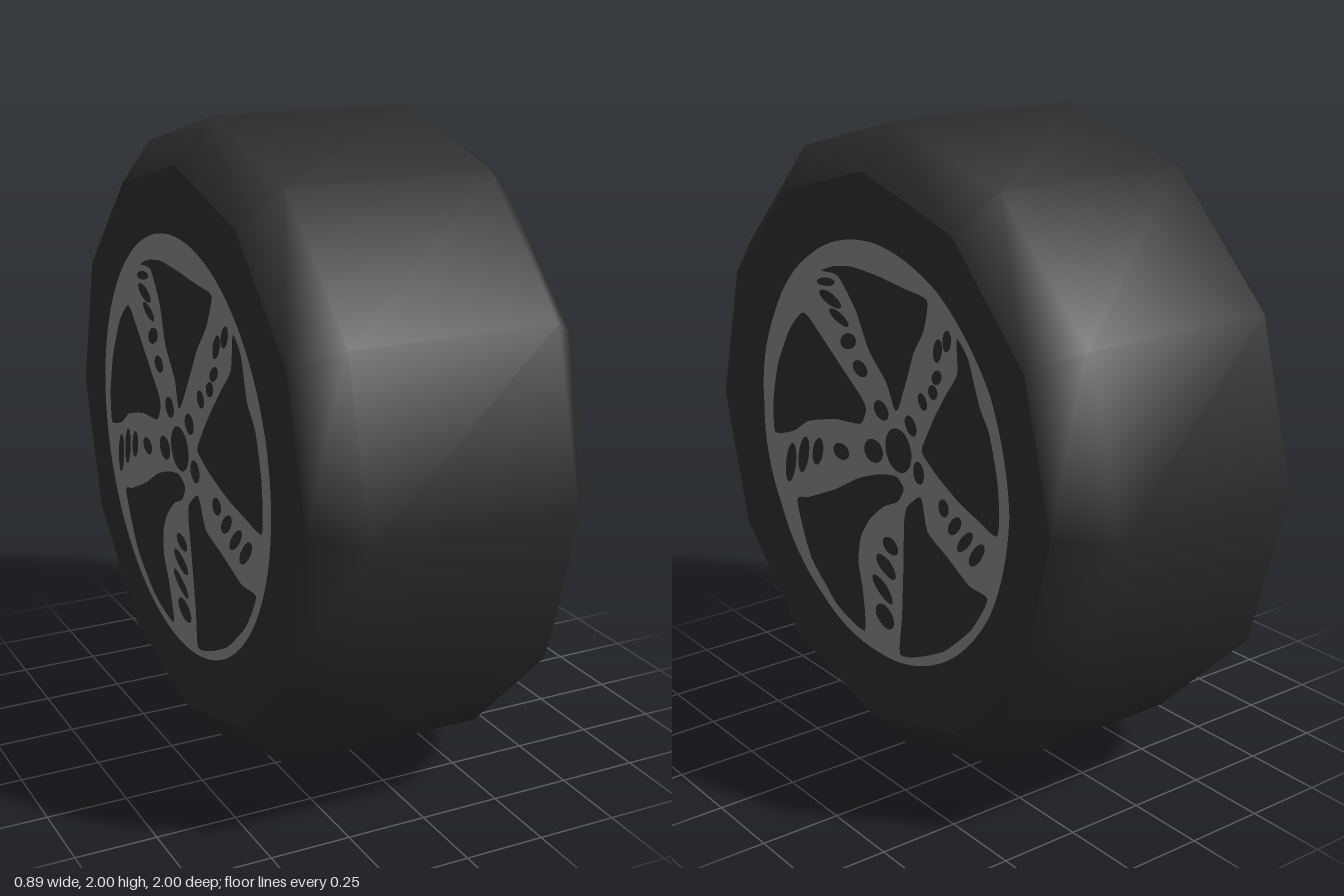
import * as THREE from 'three';

const SIDES = 12, HALF_WIDTH = 0.445, TREAD_HALF = 0.325, SIDE_RADIUS = 0.865, DISH_DEPTH = 0.125;

// Outlines below are in drafting units around the hub (x right, y down).
const UNIT = 186.7, CX = 686, CY = 224.5;
const pt = (x, y) => new THREE.Vector2((x - CX) / UNIT, (CY - y) / UNIT);

// Openings between the five spokes
const windows = [
  [[632, 128], [645, 123], [664, 120], [690, 121], [715, 123], [736, 125], [728, 144], [715, 159], [705, 175], [690, 198], [685, 200], [681, 185], [668, 168], [661, 146], [648, 128]],
  [[763, 140], [773, 149], [780, 172], [790, 185], [797, 210], [797, 239], [775, 237], [755, 234], [730, 227], [714, 220], [713, 215], [728, 195], [746, 175], [760, 160]],
  [[712, 245], [722, 262], [745, 269], [770, 277], [789, 277], [775, 300], [750, 322], [725, 335], [707, 340], [705, 318], [701, 290], [697, 265], [698, 255]],
  [[668, 244], [684, 241], [693, 246], [688, 255], [676, 261], [664, 272], [657, 285], [657, 300], [664, 315], [670, 339], [640, 332], [612, 311], [595, 279], [606, 274], [630, 263], [650, 251]],
  [[610, 157], [625, 170], [641, 186], [655, 200], [658, 207], [652, 217], [630, 219], [605, 226], [592, 235], [574, 240], [573, 220], [580, 195], [594, 170]],
];

// Hub, bolt holes and spoke slots: centre x, centre y, radius x, radius y, tilt in degrees
const ovals = [
  [686, 225, 13, 13, 0],
  [672, 204, 6.5, 6, 0], [701, 206, 6.5, 6, 0], [663, 231, 8, 7, 0], [708, 232, 6.5, 6.5, 0],
  [635, 134, 9, 2.5, 10], [637, 144, 10, 4, -15], [643, 154, 9, 3.5, -20], [649, 167, 8, 4.5, 25], [657, 182, 6.5, 5, 0],
  [752, 144, 7, 4, 60], [741, 152, 8, 4, 60], [737, 168, 6.5, 3.5, 35], [731, 178, 5.5, 4, 30], [718, 187, 5, 5, 0],
  [589, 256, 13, 4.5, 80], [601, 248, 12, 4.5, 78], [614, 243, 9, 4.5, 75], [635, 238, 7, 5, 0],
  [738, 243, 6, 5, 20], [751, 249, 9, 4, 40], [763, 254, 11, 3.5, 42], [776, 257, 11, 4, 45],
  [686, 282, 8, 4.5, -10], [684, 295, 11, 4.5, -20], [683, 309, 12, 4, -25], [688, 324, 10, 6, -15],
];

function closedPath(points) {
  const curve = new THREE.CatmullRomCurve3(
    points.map(([x, y]) => { const p = pt(x, y); return new THREE.Vector3(p.x, p.y, 0); }),
    true, 'catmullrom', 0.3);
  return new THREE.Path(curve.getPoints(points.length * 4).slice(0, -1).map(p => new THREE.Vector2(p.x, p.y)));
}

function ovalPath([x, y, rx, ry, tilt]) {
  const c = pt(x, y);
  const path = new THREE.Path();
  path.absellipse(c.x, c.y, rx / UNIT, ry / UNIT, 0, Math.PI * 2, false, THREE.MathUtils.degToRad(tilt));
  return new THREE.Path(path.getPoints(24).slice(0, -1));
}

// Split every triangle into four, so that a flat sheet can follow a dish
function subdivide(geometry) {
  const source = geometry.index ? geometry.toNonIndexed() : geometry;
  const position = source.getAttribute('position');
  const points = [];
  for (let i = 0; i < position.count; i += 3) {
    const [a, b, c] = [0, 1, 2].map(k => new THREE.Vector3().fromBufferAttribute(position, i + k));
    const ab = a.clone().lerp(b, 0.5), bc = b.clone().lerp(c, 0.5), ca = c.clone().lerp(a, 0.5);
    points.push(a, ab, ca, ab, b, bc, ca, bc, c, ab, bc, ca);
  }
  return new THREE.BufferGeometry().setFromPoints(points);
}

// Press a sheet facing +z into a shallow twelve-sided cone, keeping its even shading
function dish(geometry, depth) {
  const position = geometry.getAttribute('position');
  const step = Math.PI * 2 / SIDES, apothem = SIDE_RADIUS * Math.cos(step / 2);
  const normals = [];
  for (let i = 0; i < position.count; i++) {
    const x = position.getX(i), y = position.getY(i);
    const angle = Math.atan2(y, x) + Math.PI * 2;
    const across = Math.hypot(x, y) * Math.cos(angle % step - step / 2);
    position.setZ(i, position.getZ(i) - depth * (1 - across / apothem));
    normals.push(new THREE.Vector3(0, 0, 1));
  }
  geometry.setAttribute('normal', new THREE.Float32BufferAttribute(normals.flatMap(n => n.toArray()), 3));
  return geometry;
}

export function createModel() {
  const model = new THREE.Group();
  model.name = 'wheel';
  const rubber = new THREE.MeshStandardMaterial({ color: 0x2a2a2a });
  rubber.name = 'dark rubber';
  const metal = new THREE.MeshStandardMaterial({ color: 0x7b7b7b });
  metal.name = 'grey metal';

  const add = (parent, name, geometry, material) => {
    const mesh = new THREE.Mesh(geometry, material);
    mesh.name = name;
    parent.add(mesh);
  };

  // Tyre tread with bevelled shoulders, smooth shaded
  const profile = [
    [SIDE_RADIUS, -HALF_WIDTH], [1, -TREAD_HALF], [1, TREAD_HALF], [SIDE_RADIUS, HALF_WIDTH],
  ].map(([r, h]) => new THREE.Vector2(r, h));
  const tread = new THREE.LatheGeometry(profile, SIDES).rotateZ(Math.PI / 2).translate(0, 1, 0);
  add(model, 'tyreTread', tread, rubber);

  // Spoked rim face, cut from a disc
  const face = new THREE.Shape();
  face.absarc(0, 0, 0.655, 0, Math.PI * 2, false);
  face.holes = [...windows.map(closedPath), ...ovals.map(ovalPath)];
  const rimSheet = subdivide(subdivide(new THREE.ShapeGeometry(face, 48)));

  // Side wall and rim on each side: dished on the left, flat on the right
  for (const [name, turn, depth] of [['leftSide', Math.PI / 2, DISH_DEPTH], ['rightSide', -Math.PI / 2, 0]]) {
    const side = new THREE.Group();
    side.name = name;
    side.position.y = 1;
    side.rotation.y = turn;
    const wall = dish(new THREE.CircleGeometry(SIDE_RADIUS, SIDES), depth);
    const rim = dish(rimSheet.clone(), depth);
    add(side, 'sideWall', wall.translate(0, 0, HALF_WIDTH), rubber);
    add(side, 'spokedRim', rim.translate(0, 0, HALF_WIDTH + 0.003), metal);
    model.add(side);
  }
  return model;
}
